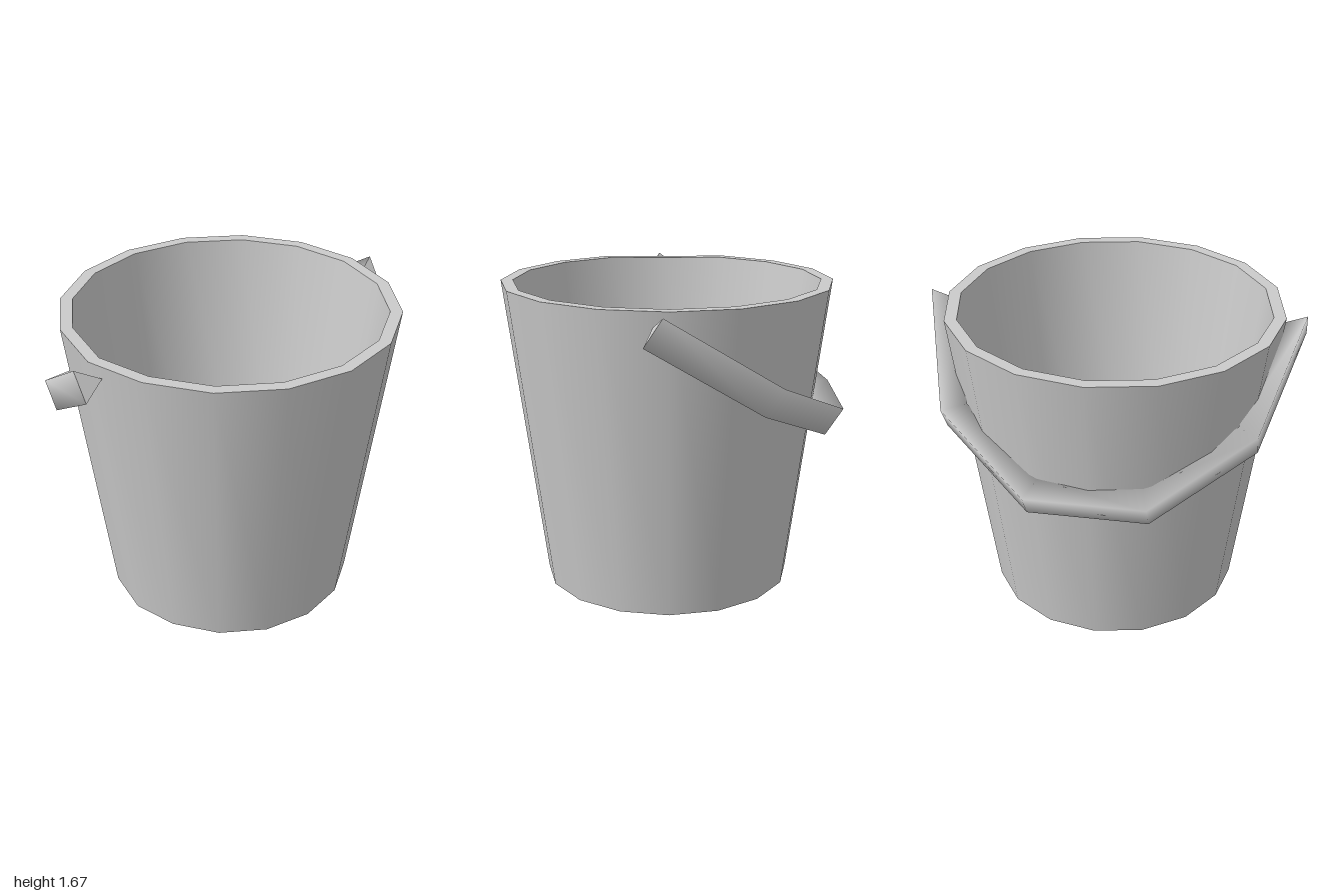
import * as THREE from 'three';

const SIDES = 16;
const material = new THREE.MeshStandardMaterial({ color: 0xcccccc });

// One band of the bucket, turned between two [radius, height] points
function band(name, from, to) {
  const points = [from, to].map(([r, y]) => new THREE.Vector2(r, y));
  const geometry = new THREE.LatheGeometry(points, SIDES);
  // The wall sags slightly at its right-hand corner
  const p = geometry.attributes.position;
  for (let i = 0; i < p.count; i++) {
    if (p.getX(i) < -0.64 && Math.abs(p.getZ(i)) < 0.01) p.setY(i, p.getY(i) - 0.013);
  }
  const mesh = new THREE.Mesh(geometry, material);
  mesh.name = name;
  return mesh;
}

// Triangular bar swept along half a stretched decagon in a tilted plane
function handleGeometry() {
  const segments = 5;
  const half = 0.085; // half the bar's height
  const along = new THREE.Vector3(0, -0.549, -0.836);
  const normal = new THREE.Vector3(0, 0.836, -0.549);
  const positions = [];
  const index = [];
  for (let k = 0; k <= segments; k++) {
    const a = (k / segments) * Math.PI;
    // upper outer, lower outer and inner corner
    for (const [scale, offset] of [[1, half], [1, -half], [0.87, 0]]) {
      const v = new THREE.Vector3(Math.cos(a) * scale, 1.59, 0.1)
        .addScaledVector(along, 1.21 * Math.sin(a) * scale)
        .addScaledVector(normal, offset);
      positions.push(v.x, v.y, v.z);
    }
  }
  for (let k = 0; k < segments; k++) {
    for (let i = 0; i < 3; i++) {
      const j = (i + 1) % 3;
      const a = k * 3 + i, b = k * 3 + j;
      index.push(a, b, b + 3, a, b + 3, a + 3);
    }
  }
  // End caps use their own corners so that their edges stay sharp
  const caps = [0, 2, 1, segments * 3, segments * 3 + 1, segments * 3 + 2];
  for (const c of caps) {
    index.push(positions.length / 3);
    positions.push(...positions.slice(c * 3, c * 3 + 3));
  }
  const geometry = new THREE.BufferGeometry();
  geometry.setAttribute('position', new THREE.Float32BufferAttribute(positions, 3));
  geometry.setIndex(index);
  geometry.computeVertexNormals();
  return geometry;
}

export function createModel() {
  const model = new THREE.Group();
  model.name = 'bucketWithHandle';

  // Tapered bucket, with a sharp edge between each pair of bands
  const bucket = new THREE.Group();
  bucket.name = 'bucket';
  bucket.position.z = 0.02;
  const profile = [[0, 0.015], [0.675, 0.015], [0.893, 1.67], [0.828, 1.67], [0.625, 0.1], [0, 0.1]];
  const names = ['underside', 'outerWall', 'rim', 'innerWall', 'floor'];
  names.forEach((name, i) => bucket.add(band(name, profile[i], profile[i + 1])));
  model.add(bucket);

  // Handle, swung down behind the bucket
  const handle = new THREE.Mesh(handleGeometry(), material);
  handle.name = 'handle';
  model.add(handle);

  return model;
}
